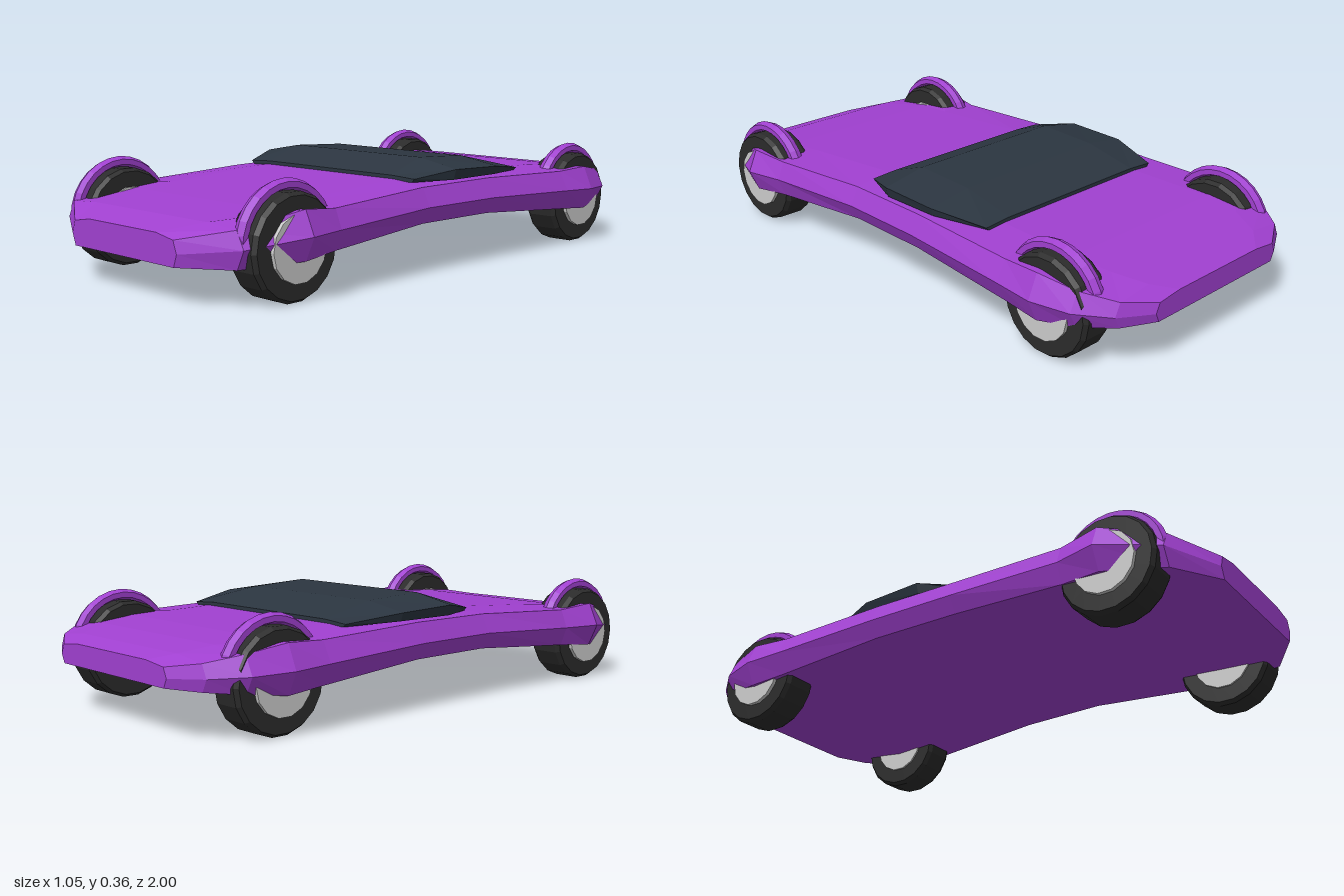
import * as THREE from 'three';

const mat = (color) => new THREE.MeshStandardMaterial({ color, flatShading: true });
const paint = mat(0xa040d0);
const glass = mat(0x2b3540);
const rubber = mat(0x2b2b2b);
const metal = mat(0xcccccc);

function add(parent, name, geometry, material) {
  const mesh = new THREE.Mesh(geometry, material);
  mesh.name = name;
  parent.add(mesh);
  return mesh;
}

// Skins mirrored cross-sections, listed front to back; half = [x, y] from bottom to top
function loft(sections) {
  const n = sections[0].half.length * 2;
  const pos = [];
  const idx = [];
  for (const { z, half } of sections) {
    const mirrored = half.map(([x, y]) => [-x, y]).reverse();
    for (const [x, y] of [...half, ...mirrored]) pos.push(x, y, z);
  }
  for (let s = 0; s < sections.length - 1; s++) {
    for (let i = 0; i < n; i++) {
      const a = s * n + i;
      const a1 = s * n + ((i + 1) % n);
      idx.push(a, a + n, a1, a1, a + n, a1 + n);
    }
  }
  const last = (sections.length - 1) * n;
  for (let i = 1; i < n - 1; i++) {
    idx.push(0, i, i + 1, last, last + i + 1, last + i);
  }
  const g = new THREE.BufferGeometry();
  g.setAttribute('position', new THREE.Float32BufferAttribute(pos, 3));
  g.setIndex(idx);
  g.computeVertexNormals();
  return g;
}

// Body stations: z, widest half width, shoulder half width, then bottom, waist, shoulder, deck heights
const bodyStations = [
  [1.0, 0.265, 0.25, 0.12, 0.16, 0.2, 0.213],
  [0.9, 0.44, 0.41, 0.12, 0.18, 0.235, 0.243],
  [0.71, 0.525, 0.49, 0.13, 0.205, 0.282, 0.265],
  [0.57, 0.495, 0.47, 0.14, 0.205, 0.268, 0.275],
  [0.16, 0.485, 0.455, 0.17, 0.225, 0.288, 0.3],
  [-0.16, 0.495, 0.465, 0.17, 0.225, 0.29, 0.302],
  [-0.57, 0.515, 0.48, 0.14, 0.21, 0.278, 0.29],
  [-0.71, 0.525, 0.49, 0.13, 0.205, 0.285, 0.285],
  [-0.84, 0.49, 0.46, 0.145, 0.2, 0.262, 0.272],
  [-0.94, 0.41, 0.39, 0.155, 0.195, 0.238, 0.252],
  [-1.0, 0.3, 0.285, 0.16, 0.19, 0.222, 0.232],
];

// Canopy stations: z, half width, roof half width, then base, rim, roof heights
const canopyStations = [
  [0.14, 0.4, 0.3, 0.295, 0.307, 0.312],
  [0.0, 0.46, 0.3, 0.297, 0.332, 0.361],
  [-0.22, 0.46, 0.3, 0.297, 0.325, 0.35],
  [-0.41, 0.4, 0.3, 0.29, 0.3, 0.307],
];

export function createModel() {
  const car = new THREE.Group();
  car.name = 'car';

  add(car, 'body', loft(bodyStations.map(([z, w, ws, yb, ym, ys, yt]) => ({
    z, half: [[ws, yb], [w, ym], [ws, ys], [ws * 0.68, yt]],
  }))), paint);

  add(car, 'canopy', loft(canopyStations.map(([z, w, wr, yb, ym, yt]) => ({
    z, half: [[w - 0.01, yb], [w, ym], [wr, yt]],
  }))), glass);

  // Tyre ring section, closed around the rim
  const tyreProfile = [
    [0.1, -0.06], [0.155, -0.06], [0.165, -0.045], [0.165, 0.045],
    [0.155, 0.06], [0.1, 0.06], [0.1, -0.06],
  ].map(([r, h]) => new THREE.Vector2(r, h));
  const tyre = new THREE.LatheGeometry(tyreProfile, 18).rotateZ(-Math.PI / 2);
  const hub = new THREE.CylinderGeometry(0.104, 0.104, 0.14, 14).rotateZ(Math.PI / 2);
  // Half hoop over the tyre, flattened radially and widened sideways
  const fender = new THREE.TorusGeometry(0.17, 0.018, 6, 14, Math.PI)
    .scale(1, 1, 1.4).rotateY(Math.PI / 2);

  for (const side of [1, -1]) {
    for (const [end, z] of [['front', 0.72], ['rear', -0.715]]) {
      const wheel = new THREE.Group();
      wheel.name = `${end}${side > 0 ? 'Left' : 'Right'}Wheel`;
      wheel.position.set(side * 0.406, 0.167, z);
      add(wheel, 'tyre', tyre, rubber);
      add(wheel, 'hub', hub, metal).position.x = side * 0.003;
      add(wheel, 'fender', fender, paint).position.set(side * 0.005, 0.012, 0);
      car.add(wheel);
    }
  }
  return car;
}
